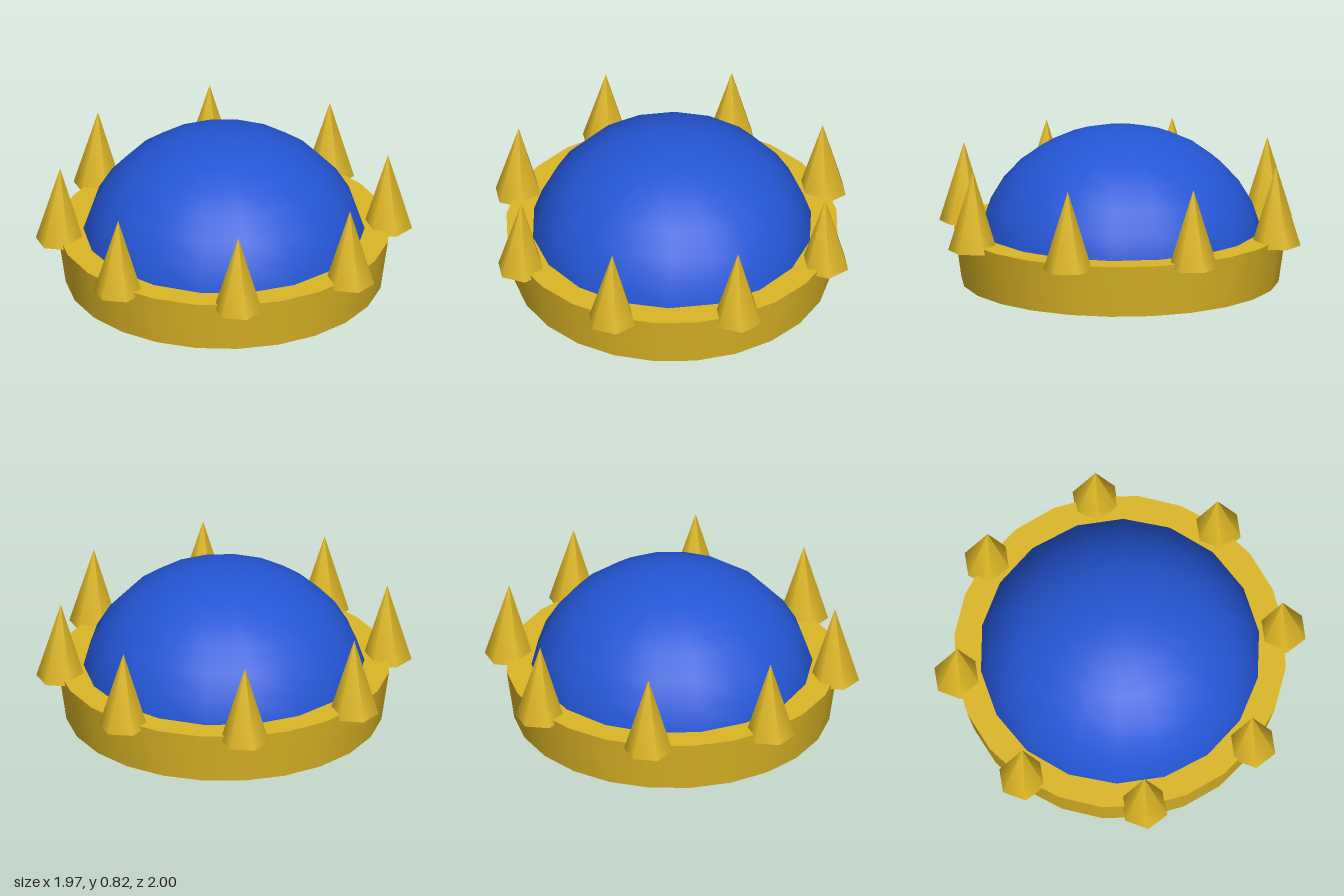
import * as THREE from 'three';

export function createModel() {
  const gold = new THREE.MeshStandardMaterial({ color: 0xdcb626 });
  gold.name = 'gold';
  const blue = new THREE.MeshStandardMaterial({ color: 0x2456d6 });
  blue.name = 'blue velvet';

  const crown = new THREE.Group();
  crown.name = 'crown';

  const add = (name, geometry, material, x, y, z) => {
    const mesh = new THREE.Mesh(geometry, material);
    mesh.name = name;
    mesh.position.set(x, y, z);
    crown.add(mesh);
    return mesh;
  };

  // Flared band, closed top and bottom
  const bandHeight = 0.28;
  add('band', new THREE.CylinderGeometry(0.88, 0.84, bandHeight, 24), gold, 0, bandHeight / 2, 0);

  // Slightly flattened half dome, rising from the middle of the band
  const dome = new THREE.SphereGeometry(0.76, 18, 8, 0, Math.PI * 2, 0, Math.PI / 2);
  dome.scale(1, 0.9, 1);
  add('cap', dome, blue, 0, bandHeight / 2, 0);

  // Eight six-sided spikes around the rim, all facing the same way
  const spikeHeight = 0.425;
  const spike = new THREE.ConeGeometry(0.13, spikeHeight, 6);
  const ringRadius = 0.87;
  for (let i = 0; i < 8; i++) {
    const a = (i / 8) * Math.PI * 2;
    add(`spike${i + 1}`, spike, gold,
      Math.sin(a) * ringRadius, 0.252 + spikeHeight / 2, Math.cos(a) * ringRadius);
  }

  return crown;
}
